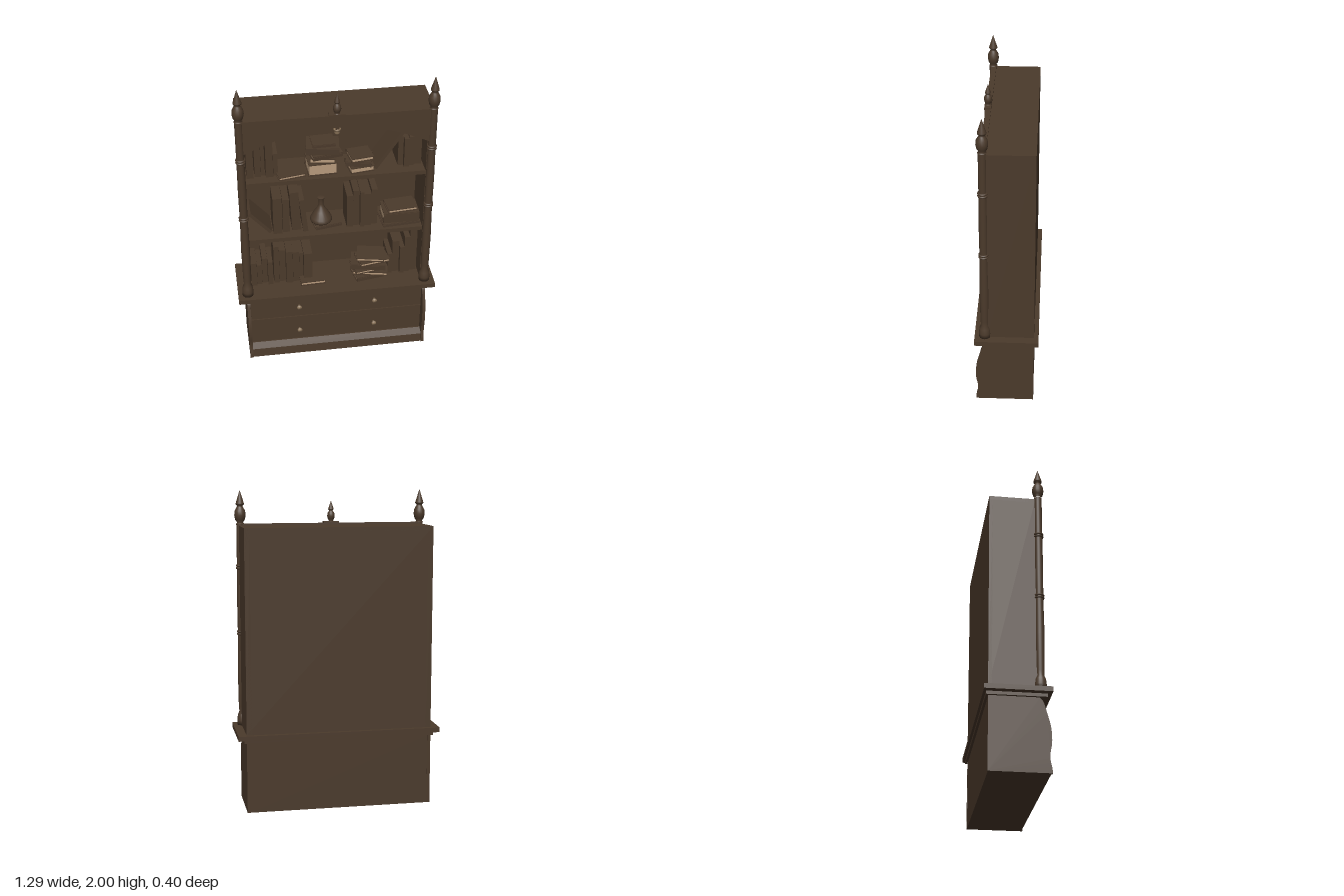
import * as THREE from 'three';

const mat = (name, color) => {
  const m = new THREE.MeshStandardMaterial({ color });
  m.name = name;
  return m;
};

export function createModel() {
  const wood = mat('dark wood', 0x4b3a2b);
  const paper = mat('paper', 0xb89b7d);
  const brass = mat('dull brass', 0x8a7358);
  const model = new THREE.Group();
  model.name = 'bookcase';

  const add = (name, geo, material = wood, parent = model) => {
    const m = new THREE.Mesh(geo, material);
    m.name = name;
    parent.add(m);
    return m;
  };
  // Box given by its limits on each axis
  const box = (name, x0, x1, y0, y1, z0, z1, material = wood, parent = model) => {
    const m = add(name, new THREE.BoxGeometry(x1 - x0, y1 - y0, z1 - z0), material, parent);
    m.position.set((x0 + x1) / 2, (y0 + y1) / 2, (z0 + z1) / 2);
    return m;
  };
  const lathe = (name, pts, x, y, z, material = wood, seg = 20) => {
    const m = add(name, new THREE.LatheGeometry(pts.map(p => new THREE.Vector2(...p)), seg), material);
    m.position.set(x, y, z);
    return m;
  };

  // Chest: body, scrolled side panels, drawers, plinth
  box('chestBody', -0.575, 0.575, 0, 0.45, -0.17, 0.12);
  const side = new THREE.Shape();
  side.moveTo(-0.172, 0);
  side.lineTo(0.192, 0);
  side.lineTo(0.19, 0.03);
  side.splineThru([[0.18, 0.08], [0.181, 0.12], [0.191, 0.185], [0.187, 0.27], [0.165, 0.36],
    [0.147, 0.42], [0.125, 0.45]].map(p => new THREE.Vector2(...p)));
  side.lineTo(-0.172, 0.45);
  const sideGeo = new THREE.ExtrudeGeometry(side, { depth: 0.02, bevelEnabled: false, curveSegments: 24 });
  sideGeo.rotateY(-Math.PI / 2);
  for (const x of [-0.57, 0.59]) add('chestSide', sideGeo).position.x = x;
  for (const [y0, y1] of [[0.085, 0.273], [0.279, 0.443]]) {
    box('drawerFront', -0.568, 0.568, y0, y1, 0.12, 0.13);
    for (const x of [-0.25, 0.25]) {
      const knob = lathe('drawerKnob', [[0, 0], [0.008, 0], [0.007, 0.012], [0.016, 0.018], [0.015, 0.026], [0, 0.031]],
        x, y0 < 0.2 ? 0.17 : 0.365, 0.13, brass, 14);
      knob.rotation.x = Math.PI / 2;
    }
  }
  const plinth = new THREE.Shape([[0.11, 0], [0.185, 0], [0.178, 0.06], [0.135, 0.083], [0.11, 0.083]]
    .map(p => new THREE.Vector2(...p)));
  const plinthGeo = new THREE.ExtrudeGeometry(plinth, { depth: 1.14, bevelEnabled: false });
  plinthGeo.rotateY(-Math.PI / 2);
  add('plinth', plinthGeo).position.x = 0.57;

  // Stepped counter
  box('counterMoulding', -0.605, 0.605, 0.45, 0.47, -0.185, 0.168);
  box('counterTop', -0.643, 0.643, 0.47, 0.5, -0.2, 0.195);

  // Open upper cabinet
  box('cabinetBack', -0.59, 0.59, 0.5, 1.78, -0.172, -0.15);
  for (const s of [-1, 1]) box('cabinetSide', s * 0.5725 - 0.0175, s * 0.5725 + 0.0175, 0.5, 1.78, -0.172, 0.115);
  box('cabinetTop', -0.59, 0.59, 1.755, 1.78, -0.172, 0.112);
  box('upperShelf', -0.556, 0.556, 1.31, 1.337, -0.15, 0.11);
  box('lowerShelf', -0.556, 0.556, 0.885, 0.912, -0.15, 0.11);

  // Arched front board
  const arch = new THREE.Shape();
  arch.moveTo(-0.575, 1.79);
  arch.lineTo(-0.575, 1.56);
  arch.lineTo(-0.555, 1.57);
  for (let i = 1; i <= 32; i++) {
    const t = -1 + i / 16;
    arch.lineTo(t * 0.555, 1.71 - 0.14 * t * t);
  }
  arch.lineTo(0.575, 1.56);
  arch.lineTo(0.575, 1.79);
  const archGeo = new THREE.ExtrudeGeometry(arch, { depth: 0.033, bevelEnabled: false });
  add('archBoard', archGeo).position.z = 0.112;

  // Turned columns with finials
  const finial = [[0.027, 0], [0.018, 0.008], [0.03, 0.025], [0.036, 0.052], [0.033, 0.08], [0.02, 0.104],
    [0.016, 0.112], [0.026, 0.12], [0.026, 0.127], [0.014, 0.165], [0, 0.21]];
  const column = [[0, 0], [0.035, 0], [0.036, 0.03], [0.032, 0.065], [0.022, 0.088], [0.025, 0.12],
    [0.028, 0.35], [0.024, 0.58], [0.026, 0.8], [0.024, 1.0], [0.024, 1.29]];
  for (const x of [-0.58, 0.58]) {
    lathe('column', column, x, 0.5, 0.132);
    lathe('columnFinial', finial, x, 1.79, 0.132);
    for (const y of [1.1, 1.52]) for (const d of [-0.008, 0.008]) {
      const ring = add('columnRing', new THREE.TorusGeometry(0.024, 0.007, 8, 20));
      ring.rotation.x = Math.PI / 2;
      ring.position.set(x, y + d, 0.132);
    }
  }

  // Centre ornament and pendant
  box('ornamentPlinth', -0.05, 0.05, 1.785, 1.8, 0.112, 0.152);
  box('ornamentBracket', -0.012, 0.012, 1.7, 1.79, 0.14, 0.152);
  lathe('centreFinial', finial.map(([r, y]) => [r * 0.68, y * 0.62]), 0, 1.8, 0.132);
  lathe('pendant', [[0, 0], [0.012, 0.006], [0.018, 0.018], [0.012, 0.028], [0.022, 0.034], [0.022, 0.042], [0, 0.05]],
    0, 1.655, 0.132, brass);

  // Upright books: [left, right, height, lean]
  const uprights = (floor, rows, front) => rows.forEach(([x0, x1, h, lean = 0], i) => {
    const z = front - (i % 3) * 0.012;
    const b = box('uprightBook', x0 + 0.001, x1 - 0.001, floor, floor + h, z - 0.17, z);
    b.rotation.z = lean;
  });
  uprights(1.337, [[-0.545, -0.5, 0.2], [-0.495, -0.455, 0.265], [-0.455, -0.43, 0.24], [-0.427, -0.38, 0.25],
    [-0.38, -0.35, 0.155], [0.395, 0.43, 0.205], [0.43, 0.463, 0.2], [0.463, 0.495, 0.205], [0.495, 0.545, 0.215]], 0.05);
  uprights(0.912, [[-0.395, -0.335, 0.265], [-0.333, -0.288, 0.245], [-0.28, -0.22, 0.285, 0.05],
    [-0.217, -0.183, 0.24, 0.1], [0.075, 0.117, 0.235], [0.117, 0.16, 0.262], [0.16, 0.187, 0.262],
    [0.187, 0.235, 0.24], [0.235, 0.275, 0.262]], 0.06);
  uprights(0.5, [[-0.55, -0.51, 0.18], [-0.51, -0.476, 0.155], [-0.476, -0.44, 0.195], [-0.44, -0.406, 0.18],
    [-0.4, -0.363, 0.29], [-0.363, -0.32, 0.25], [-0.32, -0.275, 0.25], [-0.275, -0.232, 0.235],
    [-0.232, -0.205, 0.215], [-0.205, -0.147, 0.222], [0.35, 0.383, 0.155], [0.383, 0.43, 0.245],
    [0.43, 0.462, 0.21], [0.462, 0.5, 0.28], [0.5, 0.548, 0.34]], 0.05);

  // Books leaning at a steep angle
  const leaning = (x, y, len, angle) => {
    const b = add('leaningBook', new THREE.BoxGeometry(0.022, len, 0.17));
    b.position.set(x, y, -0.03);
    b.rotation.z = angle;
  };
  leaning(0.335, 1.468, 0.3, -0.6);
  leaning(-0.475, 1.0, 0.2, 0.72);

  // Lying books: two boards, a spine and a page block; open puts the pages in front
  const lying = (x, y, z, w, h, d, turn = 0, open = true) => {
    const g = new THREE.Group();
    g.name = 'lyingBook';
    const c = Math.min(0.006, h * 0.2);
    box('bottomBoard', -w / 2, w / 2, 0, c, -d / 2, d / 2, wood, g);
    box('topBoard', -w / 2, w / 2, h - c, h, -d / 2, d / 2, wood, g);
    const s = open ? -1 : 1;
    box('spine', -w / 2, w / 2, c, h - c, s * d / 2 - 0.003, s * d / 2 + 0.003, wood, g);
    box('pages', -w / 2 + 0.006, w / 2 - 0.006, c, h - c, -d / 2 + 0.006, d / 2 - 0.006, paper, g);
    g.position.set(x, y, z);
    g.rotation.y = turn;
    model.add(g);
  };
  // Top shelf
  lying(-0.28, 1.337, 0.02, 0.17, 0.022, 0.14, 0.2);
  lying(-0.08, 1.337, 0, 0.18, 0.08, 0.15, 0.05);
  lying(-0.07, 1.417, 0, 0.16, 0.035, 0.14, -0.15);
  lying(-0.06, 1.452, 0, 0.19, 0.03, 0.15, 0.2, false);
  lying(-0.07, 1.482, 0, 0.2, 0.045, 0.15, -0.12, false);
  lying(-0.07, 1.527, 0, 0.14, 0.02, 0.12, 0.05, false);
  lying(0.16, 1.337, 0.01, 0.15, 0.04, 0.14, 0.15);
  lying(0.155, 1.377, 0.01, 0.16, 0.035, 0.13, -0.2, false);
  lying(0.16, 1.412, 0.01, 0.14, 0.03, 0.13, 0.15);
  // Middle shelf
  lying(-0.05, 0.912, -0.02, 0.17, 0.025, 0.13, 0.2, false);
  lying(0.42, 0.912, 0, 0.24, 0.022, 0.16, 0.08, false);
  lying(0.425, 0.934, 0, 0.23, 0.07, 0.15, 0, false);
  lying(0.43, 1.004, 0, 0.19, 0.025, 0.13, 0.1);
  // Bottom shelf
  lying(-0.15, 0.5, 0.03, 0.165, 0.028, 0.13, 0.05);
  [[0.22, 0.19, 0.03], [0.24, 0.23, 0.028], [0.22, 0.2, 0.022], [0.225, 0.23, 0.038], [0.25, 0.2, 0.025],
    [0.24, 0.18, 0.025]].reduce((y, [x, w, h], i) => {
    lying(x, y, 0.02, w, h, 0.14, i % 2 ? -0.2 : 0.18, i % 3 !== 0);
    return y + h;
  }, 0.5);

  // Flask
  lathe('flask', [[0, 0], [0.065, 0], [0.072, 0.012], [0.066, 0.03], [0.04, 0.075], [0.02, 0.105], [0.015, 0.125],
    [0.015, 0.16], [0.022, 0.168], [0.022, 0.174], [0, 0.174]], -0.08, 0.937, -0.02);

  return model;
}
